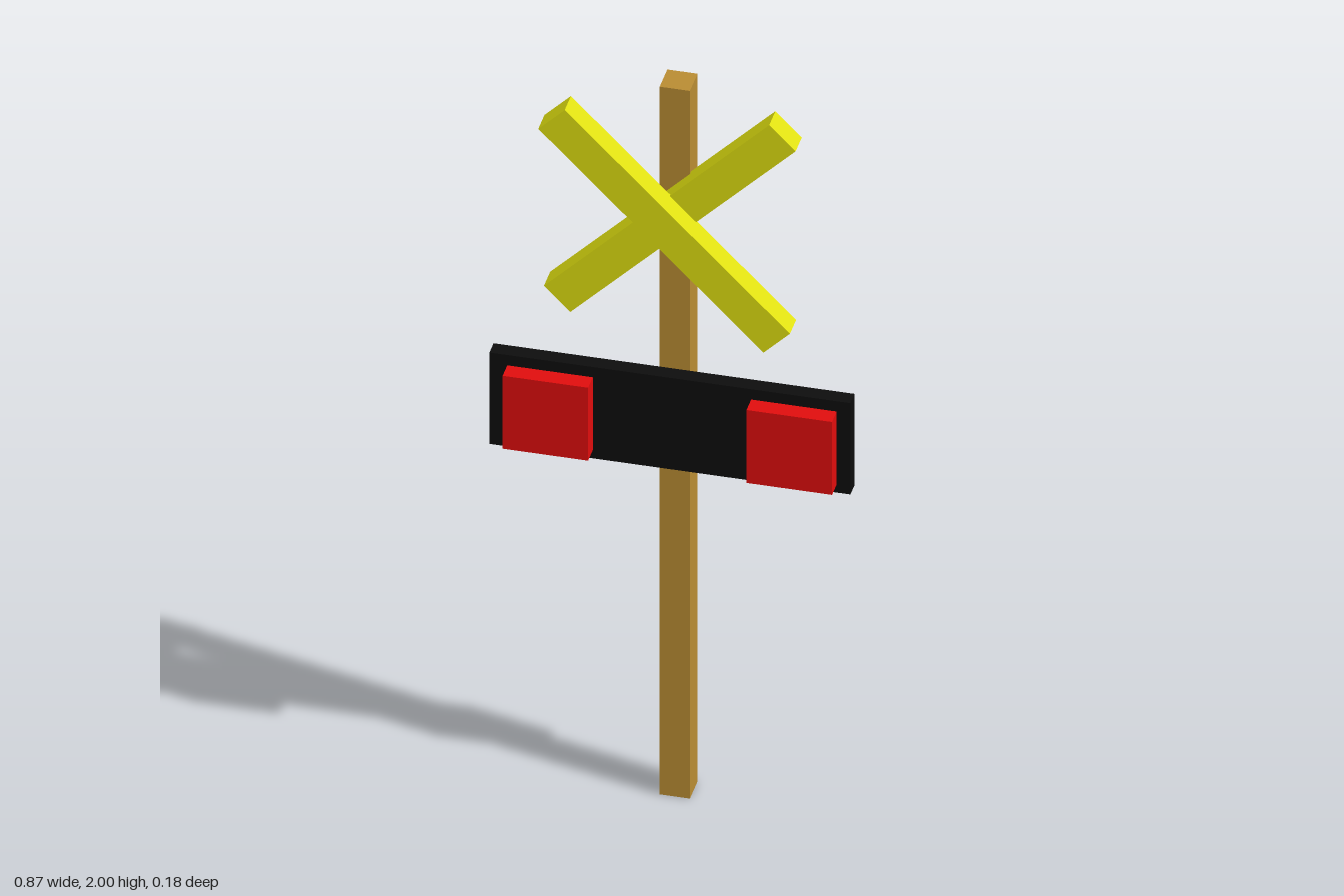
import * as THREE from 'three';

const WOOD = 0xb98c33, YELLOW = 0xe0e010, BLACK = 0x0d0d0d, RED = 0xe00d0d;

// Box given by its size and centre
function box(name, color, size, centre) {
  const mesh = new THREE.Mesh(
    new THREE.BoxGeometry(...size),
    new THREE.MeshStandardMaterial({ color })
  );
  mesh.name = name;
  mesh.position.set(...centre);
  return mesh;
}

export function createModel() {
  const model = new THREE.Group();
  model.name = 'railwayCrossingSign';

  // Square wooden post
  model.add(box('post', WOOD, [0.073, 2, 0.074], [0, 1, -0.052]));

  // Crossed boards, one lying in front of the other
  const crossbuck = new THREE.Group();
  crossbuck.name = 'crossbuck';
  crossbuck.position.y = 1.665;
  for (const [name, angle, z] of [
    ['rearBoard', Math.PI / 4, 0.003],
    ['frontBoard', -Math.PI / 4, 0.058],
  ]) {
    const board = box(name, YELLOW, [0.768, 0.09, 0.06], [0, 0, z]);
    board.rotation.z = angle;
    crossbuck.add(board);
  }
  model.add(crossbuck);

  // Signal panel with two square lamps
  model.add(box('signalPanel', BLACK, [0.87, 0.258, 0.04], [0, 1.085, 0.012]));
  for (const [name, x] of [['rightLamp', -0.289], ['leftLamp', 0.299]]) {
    model.add(box(name, RED, [0.206, 0.206, 0.047], [x, 1.082, 0.0535]));
  }

  return model;
}
